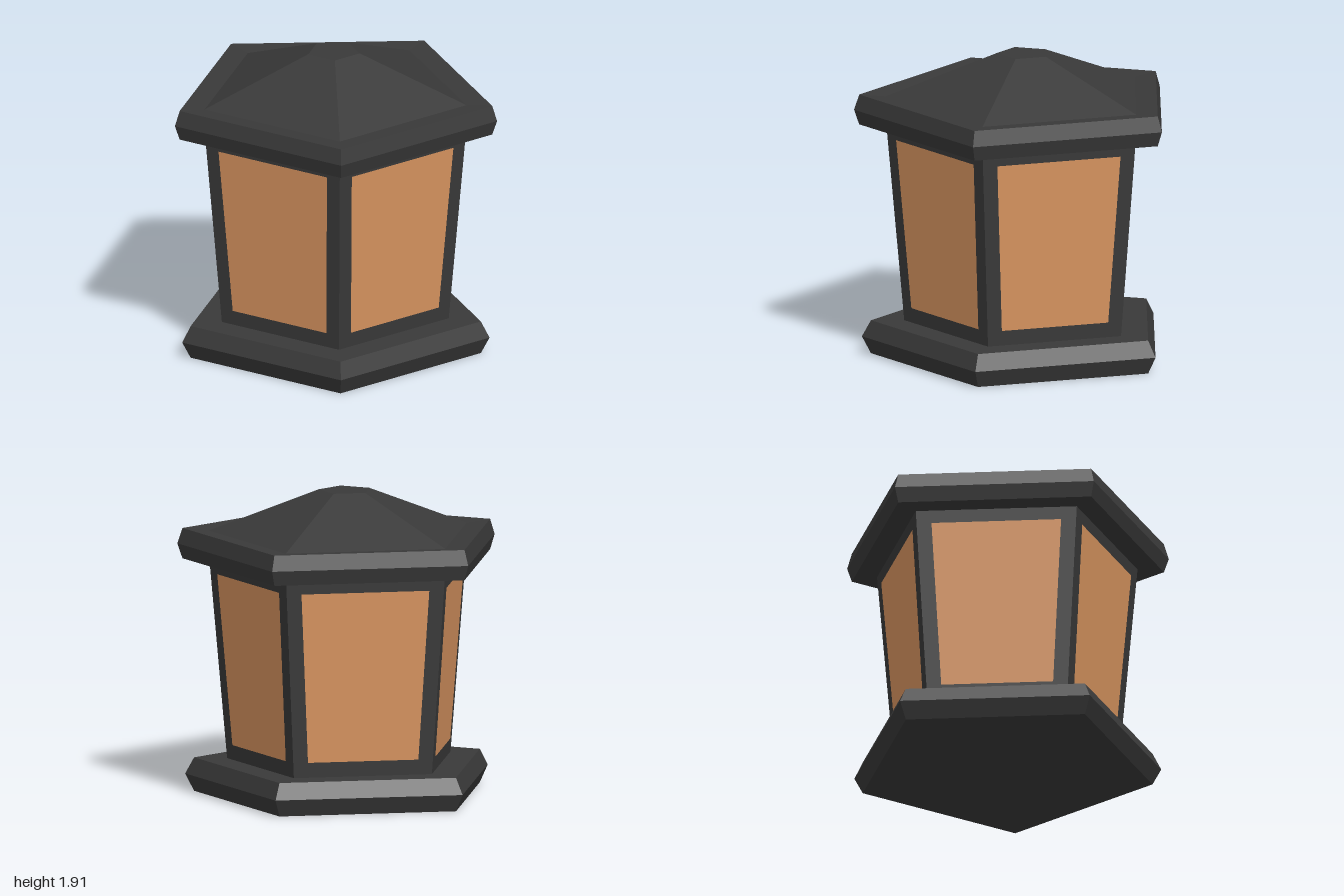
import * as THREE from 'three';

const SIDES = 5;
const APOTHEM = Math.cos(Math.PI / SIDES);

// Faceted five-sided solid from [radius, y] pairs, one corner pointing to the back
function pentagon(name, profile, material) {
  const points = profile.map(([r, y]) => new THREE.Vector2(r, y));
  const geometry = new THREE.LatheGeometry(points, SIDES, Math.PI).toNonIndexed();
  geometry.computeVertexNormals();
  const mesh = new THREE.Mesh(geometry, material);
  mesh.name = name;
  return mesh;
}

export function createModel() {
  const metal = new THREE.MeshStandardMaterial({ color: 0x393939 });
  metal.name = 'dark metal';
  const glass = new THREE.MeshStandardMaterial({ color: 0xd99560 });
  glass.name = 'amber glass';

  const lantern = new THREE.Group();
  lantern.name = 'lantern';

  // Base slab with a bevelled rim
  lantern.add(pentagon('base', [
    [0, 0], [0.947, 0], [1.003, 0.108], [0.947, 0.21], [0, 0.21],
  ], metal));

  // Flared body that frames the panes
  const bottom = { r: 0.74, y: 0.205 }, top = { r: 0.852, y: 1.465 };
  lantern.add(pentagon('bodyFrame', [
    [0, bottom.y], [bottom.r, bottom.y], [top.r, top.y], [0, top.y],
  ], metal));

  // Roof: bevelled eaves, shallow ledge, hipped slope and flat cap
  lantern.add(pentagon('roof', [
    [0, 1.46], [1.02, 1.46], [1.0515, 1.553], [1.02, 1.65],
    [0.855, 1.638], [0.168, 1.912], [0, 1.912],
  ], metal));

  // One tapered pane per side, lying just proud of the frame
  const faceZ = (y) => APOTHEM * THREE.MathUtils.mapLinear(y, bottom.y, top.y, bottom.r, top.r) + 0.003;
  const y0 = 0.305, y1 = 1.377, w0 = 0.348, w1 = 0.403;
  const paneGeometry = new THREE.BufferGeometry();
  paneGeometry.setAttribute('position', new THREE.Float32BufferAttribute([
    -w0, y0, faceZ(y0), w0, y0, faceZ(y0), w1, y1, faceZ(y1), -w1, y1, faceZ(y1),
  ], 3));
  paneGeometry.setIndex([0, 1, 2, 0, 2, 3]);
  paneGeometry.computeVertexNormals();
  for (let i = 0; i < SIDES; i++) {
    const pane = new THREE.Mesh(paneGeometry, glass);
    pane.name = `pane${i + 1}`;
    pane.rotation.y = (i * 2 * Math.PI) / SIDES;
    lantern.add(pane);
  }

  // Centre the pentagon's depth on z = 0
  lantern.position.z = 0.1;
  const model = new THREE.Group();
  model.name = 'pentagonalLantern';
  model.add(lantern);
  return model;
}
